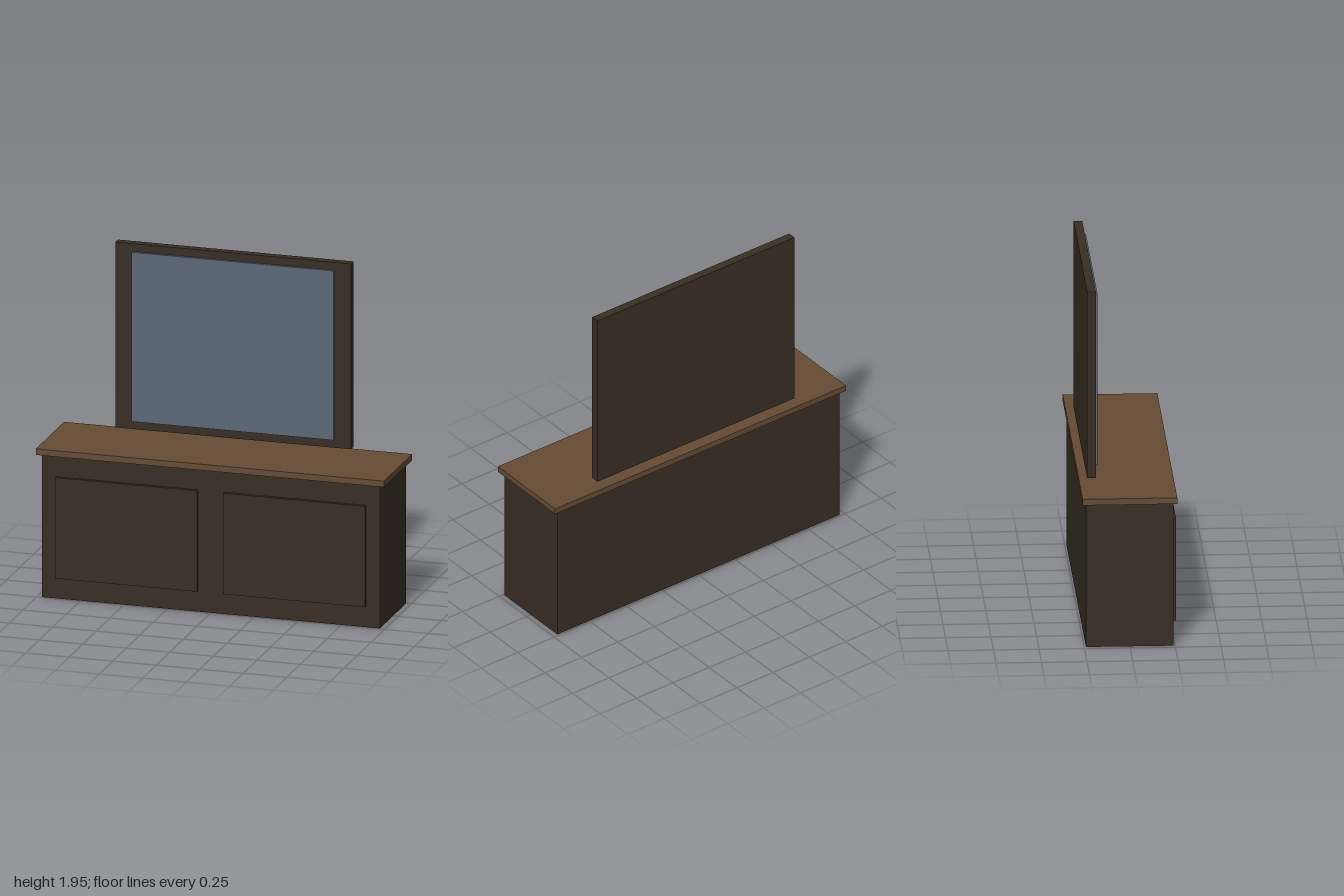
import * as THREE from 'three';

export function createModel() {
  const model = new THREE.Group();
  model.name = 'dresserWithMirror';

  const material = (name, color) => {
    const m = new THREE.MeshStandardMaterial({ color });
    m.name = name;
    return m;
  };
  const darkWood = material('dark wood', 0x382e24);
  const topWood = material('brown wood', 0x654b35);
  const glass = material('mirror glass', 0x5d6977);

  // Box given by its limits on each axis
  const box = (name, mat, [x0, x1], [y0, y1], [z0, z1]) => {
    const mesh = new THREE.Mesh(new THREE.BoxGeometry(x1 - x0, y1 - y0, z1 - z0), mat);
    mesh.position.set((x0 + x1) / 2, (y0 + y1) / 2, (z0 + z1) / 2);
    mesh.name = name;
    model.add(mesh);
  };

  // Cabinet and overhanging top
  box('cabinetBody', darkWood, [-0.97, 0.97], [0, 0.82], [-0.24, 0.24]);
  box('cabinetTop', topWood, [-1, 1], [0.82, 0.855], [-0.26, 0.26]);

  // Raised door panels
  box('leftDoor', darkWood, [0.075, 0.89], [0.12, 0.7], [0.24, 0.26]);
  box('rightDoor', darkWood, [-0.89, -0.075], [0.12, 0.7], [0.24, 0.26]);

  // Mirror floating just above the top
  box('mirrorFrame', darkWood, [-0.677, 0.677], [0.88, 1.945], [-0.218, -0.17]);
  box('mirrorGlass', glass, [-0.58, 0.58], [0.927, 1.9], [-0.17, -0.155]);

  return model;
}
